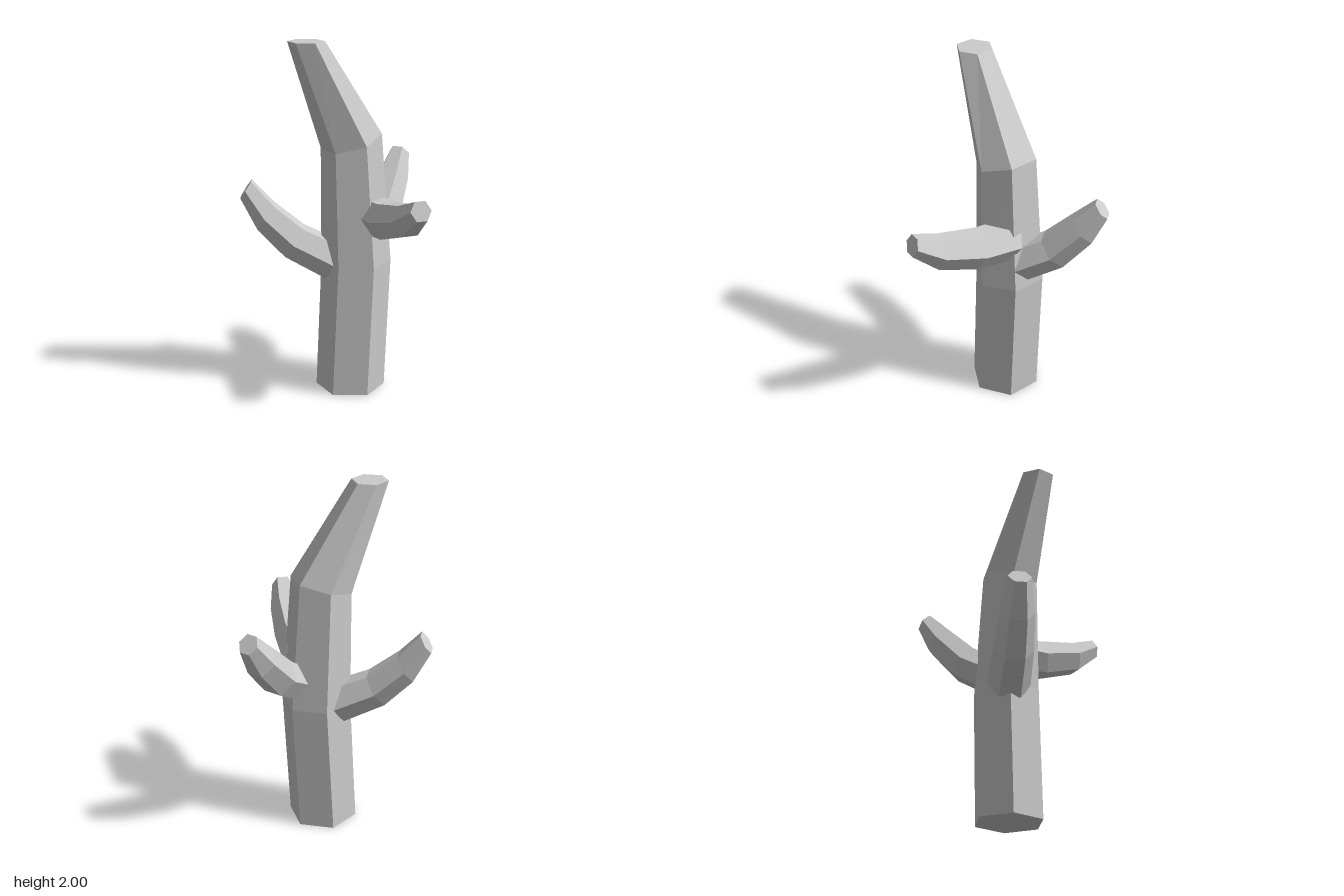
import * as THREE from 'three';

const SIDES = 6;
const material = new THREE.MeshStandardMaterial({ color: 0xcccccc, flatShading: true });

// Six-sided ring around c, spanned by directions u and v
function ring(c, r, u, v) {
  return Array.from({ length: SIDES }, (_, i) => {
    const a = (i / SIDES) * Math.PI * 2;
    return c.clone().addScaledVector(u, r * Math.cos(a)).addScaledVector(v, r * Math.sin(a));
  });
}

// Skin a list of rings and close both ends
function loft(name, rings) {
  const pos = [];
  const tri = (...pts) => pts.forEach((p) => pos.push(p.x, p.y, p.z));
  for (let i = 0; i < rings.length - 1; i++) {
    for (let j = 0; j < SIDES; j++) {
      const k = (j + 1) % SIDES;
      const [a, b, c, d] = [rings[i][j], rings[i][k], rings[i + 1][k], rings[i + 1][j]];
      tri(a, b, c);
      tri(a, c, d);
    }
  }
  const first = rings[0];
  const last = rings[rings.length - 1];
  for (let j = 1; j < SIDES - 1; j++) {
    tri(first[0], first[j + 1], first[j]);
    tri(last[0], last[j], last[j + 1]);
  }
  const geometry = new THREE.BufferGeometry();
  geometry.setAttribute('position', new THREE.Float32BufferAttribute(pos, 3));
  geometry.computeVertexNormals();
  const mesh = new THREE.Mesh(geometry, material);
  mesh.name = name;
  return mesh;
}

// Branch sections [x, y, z, radius], all cut facing one heading and upward tilt
function branch(name, headX, headZ, tilt, sections) {
  const t = THREE.MathUtils.degToRad(tilt);
  const out = new THREE.Vector3(headX, 0, headZ).normalize();
  const dir = out.multiplyScalar(Math.cos(t)).setY(Math.sin(t));
  const u = new THREE.Vector3(0, 1, 0).cross(dir).normalize();
  const v = dir.clone().cross(u);
  return loft(name, sections.map(([x, y, z, r]) => ring(new THREE.Vector3(x, y, z), r, u, v)));
}

export function createModel() {
  const model = new THREE.Group();
  model.name = 'bareTree';

  // Trunk sections [x, y, z, radius, slope along x, slope towards back]
  const trunk = [
    [0.105, 0, -0.035, 0.195, 0, 0],
    [0.135, 0.75, -0.05, 0.195, 0, 0.02],
    [0.105, 1.44, -0.035, 0.167, 0.24, 0.17],
    [-0.134, 2, 0.092, 0.1, 0, 0],
  ];
  model.add(loft('trunk', trunk.map(([x, y, z, r, sx, sz]) =>
    ring(new THREE.Vector3(x, y, z), r, new THREE.Vector3(1, sx, 0), new THREE.Vector3(0, sz, -1)))));

  // Three upward-curving branches
  model.add(
    branch('rightBranch', -1, 0, 33, [
      [0.02, 0.745, -0.05, 0.12],
      [-0.21, 0.86, -0.052, 0.11],
      [-0.37, 1.005, -0.054, 0.095],
      [-0.478, 1.16, -0.056, 0.065],
    ]),
    branch('backLeftBranch', 0.4, -0.92, 40, [
      [0.215, 0.875, -0.09, 0.115],
      [0.29, 0.98, -0.265, 0.11],
      [0.35, 1.14, -0.41, 0.095],
      [0.39, 1.27, -0.495, 0.06],
    ]),
    branch('frontLeftBranch', 0.38, 0.92, 17, [
      [0.215, 1.025, -0.04, 0.117],
      [0.305, 1.04, 0.157, 0.112],
      [0.4, 1.105, 0.373, 0.095],
      [0.46, 1.195, 0.51, 0.06],
    ]),
  );
  return model;
}
